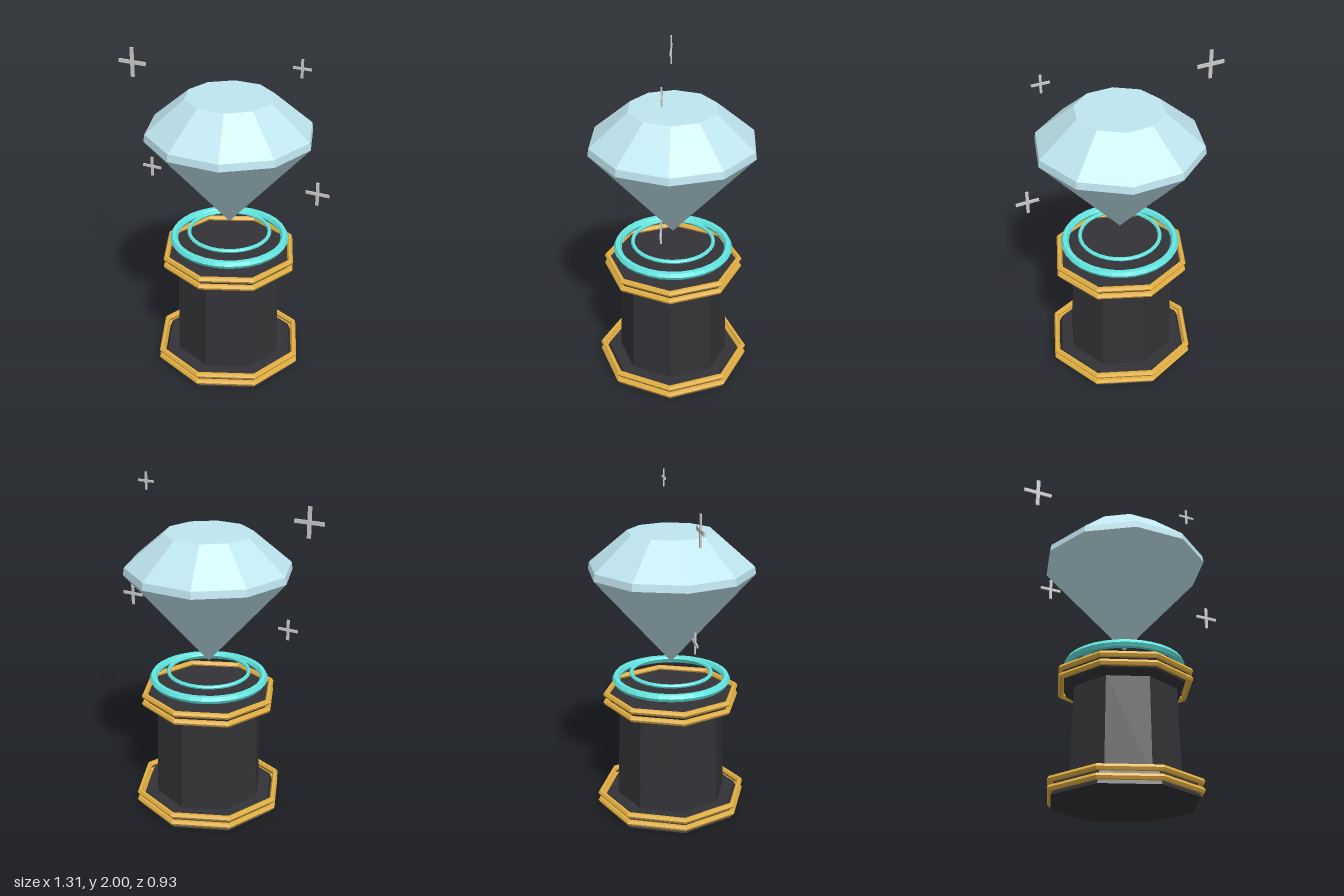
import * as THREE from 'three';

const material = (color, flatShading = true) =>
  new THREE.MeshStandardMaterial({ color, flatShading });

// Faceted solid turned from a bottom-to-top profile, with a corner on +x
function turned(name, profile, sides, mat) {
  const points = profile.map(([r, y]) => new THREE.Vector2(r, y));
  const mesh = new THREE.Mesh(new THREE.LatheGeometry(points, sides, Math.PI / 2), mat);
  mesh.name = name;
  return mesh;
}

// Horizontal ring with a hexagonal section
function ring(name, radius, tube, y, sides, mat) {
  const geometry = new THREE.TorusGeometry(radius, tube, 6, sides).rotateX(Math.PI / 2);
  const mesh = new THREE.Mesh(geometry, mat);
  mesh.name = name;
  mesh.position.y = y;
  return mesh;
}

// Plus-shaped sparkle made of two thin bars
function sparkle(x, y, size, mat) {
  const group = new THREE.Group();
  group.name = 'sparkle';
  const t = size / 8;
  for (const [w, h] of [[size, t], [t, size]]) {
    const bar = new THREE.Mesh(new THREE.BoxGeometry(w, h, 0.009), mat);
    bar.name = 'sparkleBar';
    group.add(bar);
  }
  group.position.set(x, y, 0.038);
  return group;
}

export function createModel() {
  const model = new THREE.Group();
  model.name = 'gemOnPedestal';
  const stone = material(0x333337);
  const gold = material(0xe3b043);
  const glow = material(0x62e6e0);
  const crystal = material(0xc0e6f0);
  const grey = material(0xcccccc);

  const display = new THREE.Group();
  display.name = 'display';
  display.position.x = 0.027;
  model.add(display);

  // Octagonal pedestal
  display.add(
    turned('plinth', [[0, 0], [0.437, 0], [0.405, 0.08], [0, 0.08]], 8, stone),
    turned('column', [[0.332, 0.08], [0.316, 0.645]], 8, stone),
    turned('capital', [[0, 0.64], [0.316, 0.64], [0.362, 0.672], [0.385, 0.725], [0, 0.725]], 8, stone)
  );

  // Gold trim in pairs around the plinth and capital
  for (const y of [0.036, 0.085]) display.add(ring('plinthTrim', 0.442, 0.018, y, 8, gold));
  for (const y of [0.687, 0.736]) display.add(ring('capitalTrim', 0.396, 0.018, y, 8, gold));

  // Floating glow rings
  display.add(
    ring('outerGlowRing', 0.331, 0.024, 0.817, 32, glow),
    ring('innerGlowRing', 0.24, 0.012, 0.853, 32, glow)
  );

  // Ten-sided cut gem: point, girdle, crown and table
  display.add(turned('gem',
    [[0, 0.92], [0.491, 1.475], [0.484, 1.517], [0.257, 1.71], [0, 1.71]], 10, crystal));

  // Sparkles: x, y, size
  for (const [x, y, size] of [
    [-0.57, 1.832, 0.175], [0.463, 1.948, 0.104],
    [-0.466, 1.196, 0.121], [0.582, 1.238, 0.138],
  ]) model.add(sparkle(x, y, size, grey));

  return model;
}
